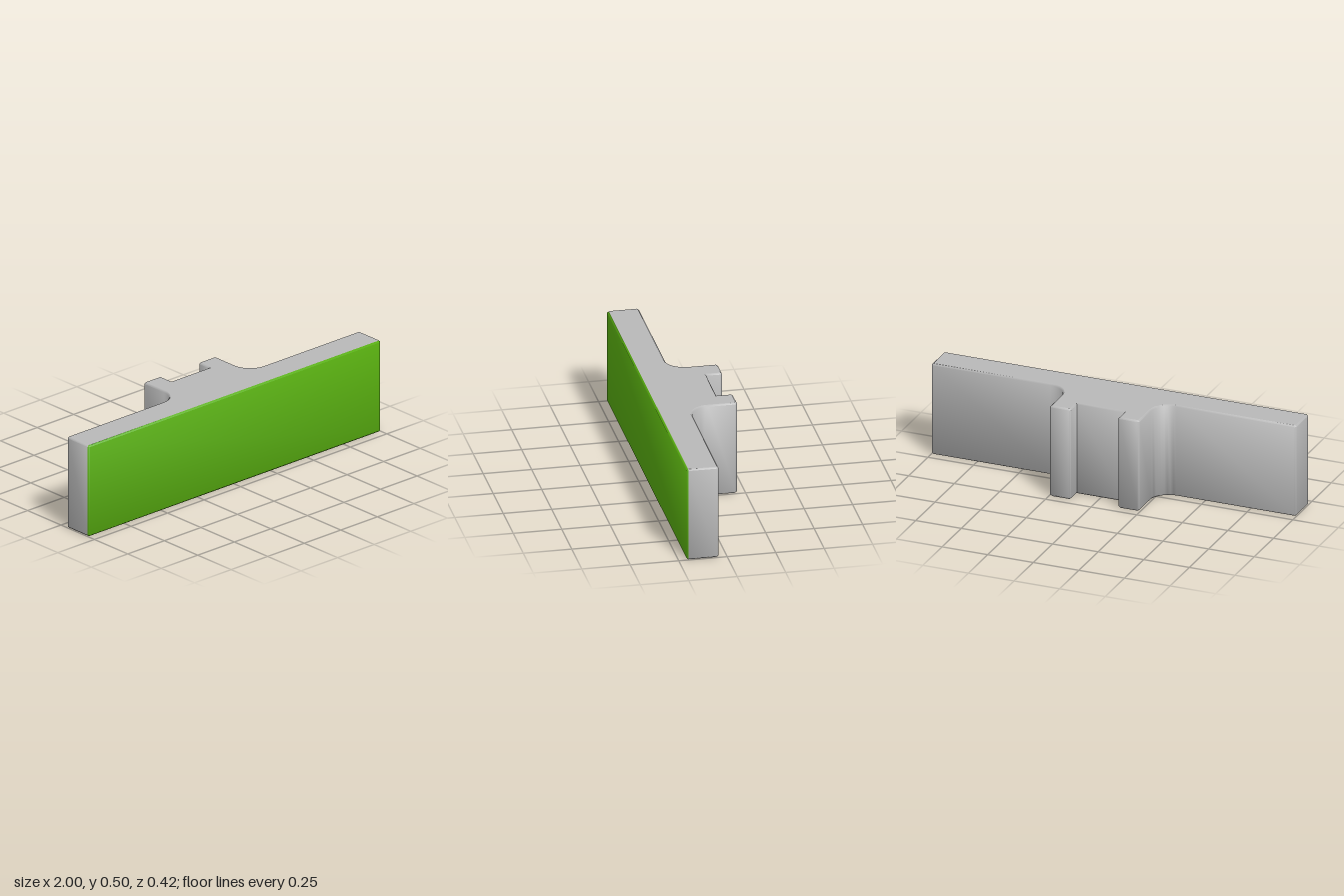
import * as THREE from 'three';
import { toCreasedNormals } from 'three/addons/utils/BufferGeometryUtils.js';

const HEIGHT = 0.5, EDGE = 0.008;

// Right half of the plan outline, front to back (x, -z), corners chamfered
function halfOutline() {
  const pts = [[0.992, -0.208], [1, -0.2], [1, -0.051], [0.992, -0.043]];
  const steps = 10, r = 0.1;
  for (let i = 0; i <= steps; i++) { // fillet between bar and stem
    const a = -Math.PI / 2 - (i / steps) * Math.PI / 2;
    pts.push([0.345 + r * Math.cos(a), 0.057 + r * Math.sin(a)]);
  }
  pts.push([0.245, 0.2], [0.237, 0.208], [0.138, 0.208], [0.13, 0.2], [0.13, 0.125]);
  return pts.map(([x, y]) => new THREE.Vector2(x, y));
}

// Keep only the triangles that pass a test on their centre
function pickTriangles(geometry, test) {
  const p = geometry.attributes.position, n = geometry.attributes.normal;
  const pos = [], nor = [];
  for (let i = 0; i < p.count; i += 3) {
    if (!test((p.getZ(i) + p.getZ(i + 1) + p.getZ(i + 2)) / 3)) continue;
    // The top and bottom faces stay flat
    const cap = [0, 1, 2].every(k => Math.abs(p.getY(i + k) - p.getY(i)) < 1e-5);
    for (let k = i; k < i + 3; k++) {
      pos.push(p.getX(k), p.getY(k), p.getZ(k));
      if (cap) nor.push(0, p.getY(i) > HEIGHT / 2 ? 1 : -1, 0);
      else nor.push(n.getX(k), n.getY(k), n.getZ(k));
    }
  }
  const g = new THREE.BufferGeometry();
  g.setAttribute('position', new THREE.Float32BufferAttribute(pos, 3));
  g.setAttribute('normal', new THREE.Float32BufferAttribute(nor, 3));
  return g;
}

export function createModel() {
  const green = new THREE.MeshStandardMaterial({ color: 0x59b010 });
  green.name = 'green';
  const grey = new THREE.MeshStandardMaterial({ color: 0xb8b8b8 });
  grey.name = 'grey';

  // Full outline: right half plus its mirror image
  const half = halfOutline();
  const mirrored = half.map(v => new THREE.Vector2(-v.x, v.y)).reverse();
  const shape = new THREE.Shape([...half, ...mirrored]);

  // Upright extrusion with a fine chamfer on the top and bottom edges
  let solid = new THREE.ExtrudeGeometry(shape, {
    depth: HEIGHT - 2 * EDGE,
    bevelEnabled: true,
    bevelThickness: EDGE,
    bevelSize: EDGE,
    bevelOffset: -EDGE,
    bevelSegments: 1,
  });
  solid.translate(0, 0, EDGE).rotateX(-Math.PI / 2);
  solid = toCreasedNormals(solid, THREE.MathUtils.degToRad(50));

  const group = new THREE.Group();
  group.name = 'slottedBar';
  const add = (name, material, test) => {
    const mesh = new THREE.Mesh(pickTriangles(solid, test), material);
    mesh.name = name;
    group.add(mesh);
  };
  // Painted front with its chamfers, and the bar with its slotted back mount
  add('frontFace', green, z => z > 0.2005);
  add('barAndMount', grey, z => z <= 0.2005);
  return group;
}
